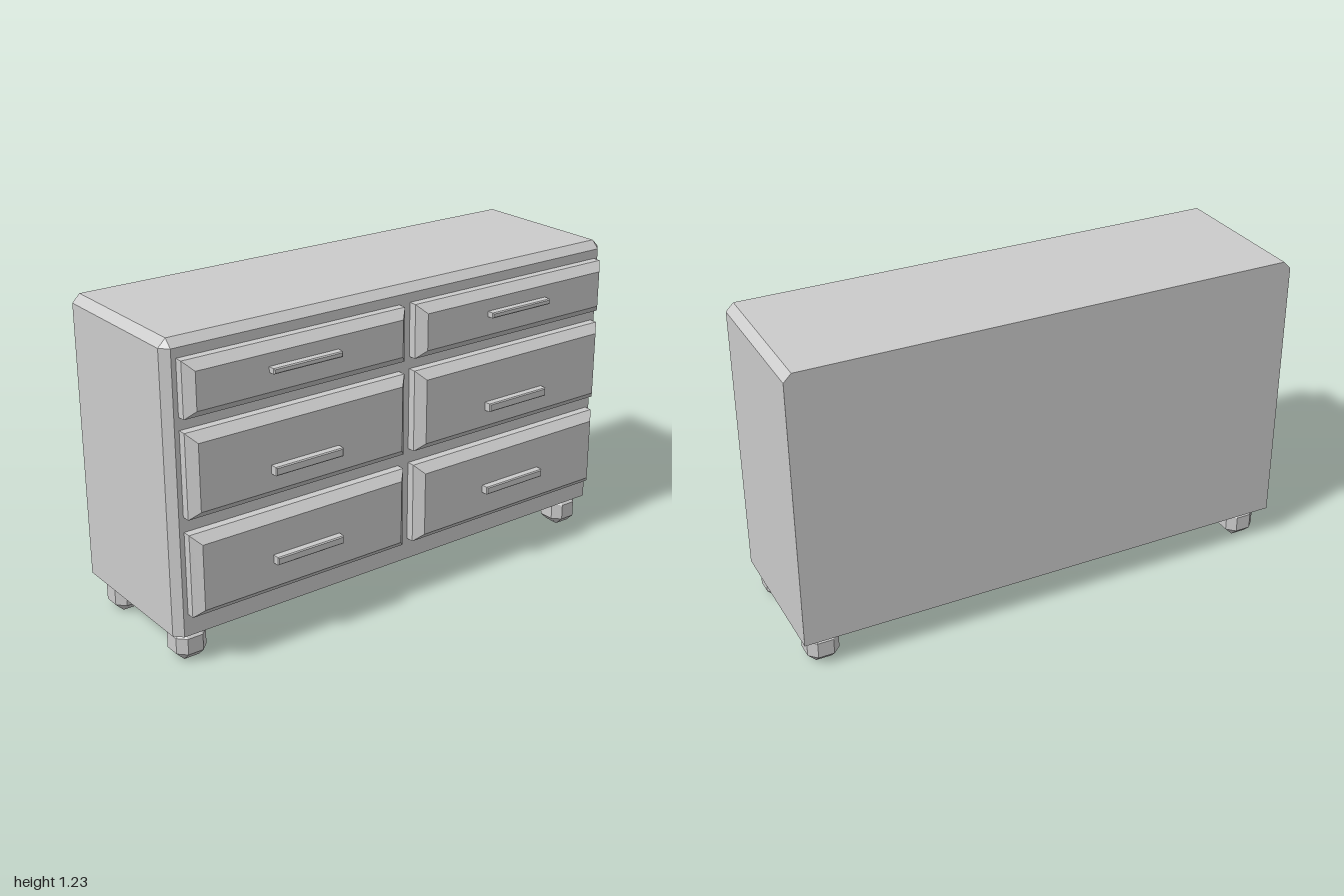
import * as THREE from 'three';
import { ConvexGeometry } from 'three/addons/geometries/ConvexGeometry.js';

const material = new THREE.MeshStandardMaterial({ color: 0xcccccc, flatShading: true });

function hull(name, points) {
  const mesh = new THREE.Mesh(new ConvexGeometry(points.map(p => new THREE.Vector3(...p))), material);
  mesh.name = name;
  return mesh;
}

// Panel whose four front edges are bevelled, centred on x and y, back at z = 0
function bevelledPanel(name, w, h, d, bevel) {
  const points = [];
  for (const sx of [-1, 1]) for (const sy of [-1, 1]) {
    const x = sx * w / 2, y = sy * h / 2;
    points.push([x, y, 0], [x, y, d - bevel], [x - sx * bevel, y - sy * bevel, d]);
  }
  return hull(name, points);
}

// Block with all twelve edges chamfered
function chamferedBlock(name, w, h, d, c) {
  const points = [];
  for (const sx of [-1, 1]) for (const sy of [-1, 1]) for (const sz of [-1, 1]) {
    const x = sx * w / 2, y = sy * h / 2, z = sz * d / 2;
    const xi = x - sx * c, yi = y - sy * c, zi = z - sz * c;
    points.push([x, yi, zi], [xi, y, zi], [xi, yi, z]);
  }
  return hull(name, points);
}

export function createModel() {
  const model = new THREE.Group();
  model.name = 'dresser';

  // Cabinet: chamfered along the top sides, top front and front uprights
  const c = 0.03, bottom = 0.125, top = 1.226, front = 0.265, back = -0.36;
  const corners = [];
  for (const s of [-1, 1]) {
    const side = s, inner = s * (1 - c);
    corners.push(
      [inner, bottom, front], [side, bottom, front - c], [side, bottom, back],
      [inner, top - c, front], [side, top - c, front - c], [inner, top, front - c],
      [side, top - c, back], [inner, top, back]);
  }
  model.add(hull('cabinet', corners));

  // Drawers in three rows, with handles
  const rows = [
    { low: 0.953, high: 1.16, handleY: 1.069, handleH: 0.021 },
    { low: 0.586, high: 0.905, handleY: 0.701, handleH: 0.033 },
    { low: 0.211, high: 0.529, handleY: 0.355, handleH: 0.031 },
  ];
  for (const s of [-1, 1]) for (const row of rows) {
    const drawer = bevelledPanel('drawer', 0.928, row.high - row.low, 0.065, 0.033);
    drawer.position.set(s * 0.488, (row.low + row.high) / 2, front);
    const handle = bevelledPanel('handle', 0.288, row.handleH, 0.03, 0.004);
    handle.position.set(s * 0.488, row.handleY, 0.33);
    model.add(drawer, handle);
  }

  // Feet
  for (const x of [-0.911, 0.911]) for (const z of [0.176, -0.269]) {
    const foot = chamferedBlock('foot', 0.124, 0.125, 0.124, 0.031);
    foot.position.set(x, 0.0625, z);
    model.add(foot);
  }
  return model;
}
